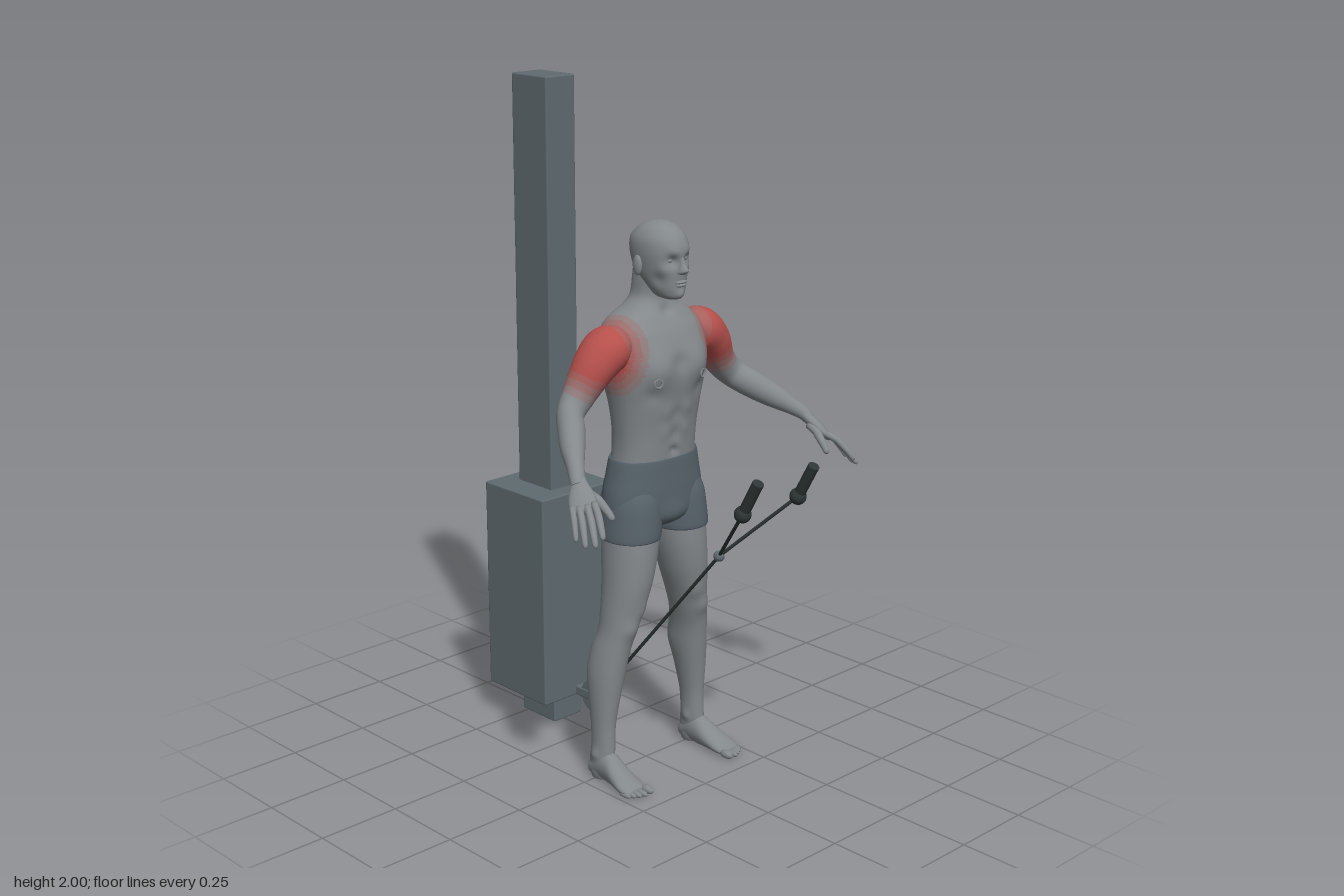
import * as THREE from 'three';
import { RoundedBoxGeometry } from 'three/addons/geometries/RoundedBoxGeometry.js';

const V = (x, y, z) => new THREE.Vector3(x, y, z);
const X = V(1, 0, 0), Y = V(0, 1, 0), Z = V(0, 0, 1);

const mat = (name, color) => {
  const m = new THREE.MeshStandardMaterial({ color });
  m.name = name;
  return m;
};

// Closed smooth skin through rows of [x, y, z, halfWidth, halfDepth]; width runs along ref
function loft(rows, { ref = X, axis = null, segs = 24, steps = 4, n = 2 } = {}) {
  const curve = (f) => new THREE.CatmullRomCurve3(rows.map(f), false, 'catmullrom', 0.5);
  const path = curve((r) => V(r[0], r[1], r[2])), size = curve((r) => V(r[3], r[4], 0));
  const count = (rows.length - 1) * steps, pos = [], idx = [];
  const round = (c) => Math.sign(c) * Math.abs(c) ** (2 / n);
  for (let i = 0; i <= count; i++) {
    const p = path.getPoint(i / count), s = size.getPoint(i / count);
    const t = axis || path.getTangent(i / count);
    const u = ref.clone().addScaledVector(t, -ref.dot(t)).normalize();
    const v = t.clone().cross(u);
    for (let j = 0; j < segs; j++) {
      const a = (j / segs) * Math.PI * 2;
      const q = p.clone().addScaledVector(u, s.x * round(Math.cos(a))).addScaledVector(v, s.y * round(Math.sin(a)));
      pos.push(q.x, q.y, q.z);
      if (i < count) {
        const k = i * segs + j, l = i * segs + ((j + 1) % segs);
        idx.push(k, l, k + segs, l, l + segs, k + segs);
      }
    }
  }
  // end caps
  const first = path.getPoint(0), last = path.getPoint(1), c = pos.length / 3, top = count * segs;
  pos.push(first.x, first.y, first.z, last.x, last.y, last.z);
  for (let j = 0; j < segs; j++) {
    const l = (j + 1) % segs;
    idx.push(c, l, j, c + 1, top + j, top + l);
  }
  const g = new THREE.BufferGeometry();
  g.setAttribute('position', new THREE.Float32BufferAttribute(pos, 3));
  g.setIndex(idx);
  g.computeVertexNormals();
  return g;
}

// Upright loft from rows of [y, centreX, halfWidth, frontZ, backZ]
const stack = (rows, opts) =>
  loft(rows.map(([y, x, a, f, b]) => [x, y, (f + b) / 2, a, (f - b) / 2]), { axis: Y, ...opts });

// Push the skin in or out around points [x, y, z, radius, amount], same on both sides
function sculpt(g, bumps) {
  const p = g.attributes.position, nrm = g.attributes.normal;
  for (let i = 0; i < p.count; i++) {
    const q = V().fromBufferAttribute(p, i);
    let d = 0;
    for (const [x, y, z, r, amount] of bumps)
      d += amount * Math.exp(-((Math.abs(q.x) - x) ** 2 + (q.y - y) ** 2 + (q.z - z) ** 2) / (r * r));
    q.addScaledVector(V().fromBufferAttribute(nrm, i), d);
    p.setXYZ(i, q.x, q.y, q.z);
  }
  g.computeVertexNormals();
  return g;
}

// Sort faces into colour groups by distance from the shoulder muscle
function shade(g) {
  const p = g.attributes.position, src = g.index.array, bands = [[], [], [], [], []];
  for (let i = 0; i < src.length; i += 3) {
    const tri = [src[i], src[i + 1], src[i + 2]], c = V(0, 0, 0);
    tri.forEach((k) => c.add(V().fromBufferAttribute(p, k)));
    c.divideScalar(3);
    const d = Math.hypot(Math.abs(c.x) - 0.215, c.y - 1.29, c.z - 0.035);
    bands[d < 0.085 ? 0 : d < 0.1 ? 1 : d < 0.12 ? 2 : d < 0.14 ? 3 : 4].push(...tri);
  }
  g.setIndex(bands.flat());
  let start = 0;
  bands.forEach((b, i) => { if (b.length) g.addGroup(start, b.length, i); start += b.length; });
  return g;
}

function mirror(g) {
  const m = g.clone().scale(-1, 1, 1), a = m.index.array;
  for (let i = 0; i < a.length; i += 3) [a[i], a[i + 1]] = [a[i + 1], a[i]];
  m.computeVertexNormals();
  return m;
}

const ball = (x, y, z, a, b, c) => new THREE.SphereGeometry(1, 20, 14).scale(a, b, c).translate(x, y, z);

function rod(a, b, r, sides = 12) {
  const d = b.clone().sub(a), g = new THREE.CylinderGeometry(r, r, d.length(), sides);
  g.applyQuaternion(new THREE.Quaternion().setFromUnitVectors(Y, d.clone().normalize()));
  return g.translate(...a.clone().add(b).multiplyScalar(0.5).toArray());
}

export function createModel() {
  const model = new THREE.Group();
  const skin = mat('skin', 0x83888b), shorts = mat('shorts', 0x57636a);
  const machine = mat('machine', 0x5f6b70), dark = mat('darkRubber', 0x2e3536);
  const tones = [mat('muscleRed', 0xb5504c), mat('muscleRose', 0xa85f5c), mat('muscleBlush', 0x9b6e6c),
    mat('muscleTint', 0x8f7b7c), skin];
  const add = (name, g, m) => {
    const mesh = new THREE.Mesh(g, m);
    mesh.name = name;
    model.add(mesh);
  };
  const pair = (name, g, m) => { add(name + 'Left', g, m); add(name + 'Right', mirror(g), m); };

  // Torso and neck
  add('torso', shade(sculpt(stack([
    [0.93, 0, 0.14, 0.11, -0.058], [1.0, 0, 0.136, 0.116, -0.055], [1.06, 0, 0.14, 0.12, -0.052],
    [1.13, 0, 0.15, 0.13, -0.06], [1.2, 0, 0.164, 0.14, -0.077], [1.27, 0, 0.173, 0.138, -0.085],
    [1.33, 0, 0.17, 0.118, -0.08], [1.37, 0, 0.135, 0.095, -0.068], [1.4, 0, 0.085, 0.078, -0.05],
    [1.43, 0, 0.058, 0.07, -0.036], [1.48, 0, 0.053, 0.076, -0.03], [1.53, 0, 0.05, 0.08, -0.025],
  ], { segs: 80, steps: 8, n: 2.3 }), [
    [0.075, 1.235, 0.14, 0.05, 0.014], [0.0, 1.25, 0.15, 0.025, -0.008], [0.09, 1.165, 0.13, 0.025, -0.006],
    [0.0, 1.1, 0.13, 0.02, -0.005], [0.0, 1.04, 0.12, 0.02, -0.005], [0.0, 0.99, 0.117, 0.011, -0.012],
    [0.035, 1.11, 0.13, 0.025, 0.004], [0.035, 1.05, 0.12, 0.025, 0.004],
    [0.0, 1.3, -0.09, 0.04, -0.016], [0.0, 1.2, -0.08, 0.04, -0.016], [0.0, 1.1, -0.06, 0.04, -0.012],
    [0.085, 1.28, -0.08, 0.055, 0.014], [0.04, 1.06, -0.055, 0.04, 0.006], [0.0, 1.39, 0.08, 0.018, -0.008],
  ])), tones);
  pair('nipple', new THREE.TorusGeometry(0.012, 0.003, 8, 20).rotateY(0.35).translate(0.086, 1.205, 0.14), skin);

  // Head and face
  add('head', sculpt(stack([
    [1.428, 0, 0.018, 0.122, 0.075], [1.436, 0, 0.034, 0.133, 0.05], [1.455, 0, 0.046, 0.138, 0.025],
    [1.485, 0, 0.058, 0.14, -0.005], [1.52, 0, 0.065, 0.143, -0.03], [1.56, 0, 0.069, 0.145, -0.04],
    [1.595, 0, 0.065, 0.136, -0.036], [1.622, 0, 0.048, 0.112, -0.01], [1.636, 0, 0.026, 0.085, 0.02],
    [1.641, 0, 0.006, 0.06, 0.045],
  ], { segs: 56, steps: 7, n: 2.15 }), [
    [0.028, 1.54, 0.135, 0.017, -0.014], [0.025, 1.562, 0.14, 0.015, 0.004], [0.042, 1.515, 0.115, 0.015, 0.004],
    [0.05, 1.485, 0.1, 0.02, -0.006], [0, 1.443, 0.135, 0.015, 0.005], [0, 1.461, 0.14, 0.01, -0.004],
  ]), skin);
  pair('eye', ball(0.028, 1.54, 0.116, 0.012, 0.009, 0.012), skin);
  pair('ear', ball(0.071, 1.522, 0.045, 0.009, 0.029, 0.017).rotateY(0.05), skin);
  add('nose', stack([[1.5, 0, 0.006, 0.15, 0.12], [1.505, 0, 0.016, 0.157, 0.12], [1.513, 0, 0.014, 0.165, 0.12],
    [1.53, 0, 0.009, 0.154, 0.12], [1.555, 0, 0.007, 0.143, 0.12]], { segs: 16 }), skin);
  add('upperLip', ball(0, 1.479, 0.14, 0.022, 0.005, 0.008), skin);
  add('lowerLip', ball(0, 1.47, 0.139, 0.019, 0.005, 0.008), skin);

  // Arms from the shoulder to the wrist
  pair('arm', shade(loft([
    [0.12, 1.312, 0.03, 0.042, 0.05], [0.172, 1.302, 0.03, 0.064, 0.072], [0.222, 1.262, 0.028, 0.06, 0.065],
    [0.274, 1.19, 0.022, 0.048, 0.047], [0.318, 1.143, 0.033, 0.042, 0.038], [0.352, 1.112, 0.075, 0.041, 0.038],
    [0.39, 1.08, 0.122, 0.036, 0.034], [0.424, 1.05, 0.17, 0.026, 0.025], [0.445, 1.03, 0.2, 0.021, 0.022],
    [0.455, 1.012, 0.218, 0.017, 0.021],
  ], { ref: Y, segs: 48, steps: 10 })), tones);

  // Hands
  const across = V(0.7, -0.15, -0.7).normalize();
  pair('palm', loft([[0.444, 1.033, 0.197, 0.02, 0.018], [0.453, 1.013, 0.217, 0.025, 0.017],
    [0.467, 0.99, 0.242, 0.036, 0.016], [0.48, 0.966, 0.265, 0.037, 0.012], [0.485, 0.957, 0.273, 0.025, 0.007]],
  { ref: across }), skin);
  const finger = (name, a, b, r) => {
    const at = (t, s) => [...V(...a).lerp(V(...b), t).add(V(0, 0.012 * Math.sin(t * Math.PI), 0)).toArray(), r * s, r * s];
    pair(name, loft([at(0, 1), at(0.35, 0.95), at(0.5, 1), at(0.8, 0.85), at(0.95, 0.7), at(1, 0.3)],
      { ref: across, segs: 14 }), skin);
  };
  finger('indexFinger', [0.457, 0.98, 0.28], [0.497, 0.908, 0.358], 0.0105);
  finger('middleFinger', [0.473, 0.974, 0.27], [0.518, 0.89, 0.352], 0.0105);
  finger('ringFinger', [0.488, 0.97, 0.256], [0.531, 0.886, 0.327], 0.01);
  finger('littleFinger', [0.499, 0.968, 0.24], [0.535, 0.896, 0.295], 0.0088);
  finger('thumb', [0.442, 0.998, 0.23], [0.424, 0.934, 0.318], 0.0125);

  // Shorts
  add('shortsHips', sculpt(stack([
    [0.968, 0, 0.14, 0.113, -0.058], [0.966, 0, 0.145, 0.117, -0.061], [0.92, 0, 0.155, 0.119, -0.066],
    [0.86, 0, 0.167, 0.121, -0.07], [0.8, 0, 0.165, 0.118, -0.06], [0.77, 0, 0.125, 0.095, -0.035],
    [0.755, 0, 0.06, 0.06, 0],
  ].reverse(), { segs: 56, steps: 6, n: 2.3 }), [
    [0.075, 0.85, -0.07, 0.055, 0.012], [0, 0.85, -0.07, 0.028, -0.016], [0, 0.8, 0.12, 0.035, 0.008],
  ]), shorts);
  pair('shortsLeg', stack([[0.738, 0.096, 0.076, 0.118, -0.052], [0.74, 0.095, 0.084, 0.125, -0.061],
    [0.79, 0.09, 0.084, 0.124, -0.064], [0.85, 0.085, 0.08, 0.118, -0.066], [0.9, 0.08, 0.06, 0.1, -0.05]],
  { segs: 40, n: 2.1 }), shorts);

  // Legs
  pair('leg', sculpt(stack([
    [0.0, 0.186, 0.022, 0.03, -0.027], [0.02, 0.186, 0.027, 0.04, -0.035], [0.06, 0.186, 0.029, 0.05, -0.034],
    [0.1, 0.184, 0.03, 0.05, -0.029], [0.17, 0.182, 0.032, 0.05, -0.031], [0.25, 0.176, 0.041, 0.058, -0.043],
    [0.33, 0.167, 0.05, 0.068, -0.054], [0.4, 0.157, 0.05, 0.078, -0.046], [0.46, 0.143, 0.051, 0.09, -0.031],
    [0.52, 0.13, 0.057, 0.1, -0.032], [0.6, 0.113, 0.067, 0.115, -0.04], [0.7, 0.098, 0.076, 0.12, -0.051],
    [0.8, 0.09, 0.076, 0.115, -0.052],
  ], { segs: 40, steps: 5, n: 2.1 }), [
    [0.145, 0.475, 0.09, 0.025, 0.007], [0.11, 0.53, 0.1, 0.025, 0.006], [0.14, 0.35, -0.04, 0.035, 0.004],
    [0.155, 0.09, 0.012, 0.015, 0.006], [0.215, 0.08, 0.005, 0.015, 0.006],
  ]), skin);

  // Feet, flattened on the ground
  const grounded = (g) => {
    const p = g.attributes.position;
    for (let i = 0; i < p.count; i++) p.setY(i, Math.max(p.getY(i), 0));
    g.computeVertexNormals();
    return g;
  };
  pair('foot', grounded(loft([
    [0.186, 0.025, -0.036, 0.012, 0.014], [0.186, 0.03, -0.025, 0.025, 0.028], [0.186, 0.045, 0.01, 0.03, 0.045],
    [0.187, 0.042, 0.05, 0.033, 0.046], [0.191, 0.029, 0.09, 0.038, 0.032], [0.195, 0.018, 0.13, 0.042, 0.021],
    [0.195, 0.013, 0.155, 0.038, 0.014], [0.194, 0.011, 0.166, 0.03, 0.007],
  ], { axis: Z, segs: 32 })), skin);
  [[0.165, 0.176, 0.0125], [0.187, 0.176, 0.009], [0.203, 0.169, 0.0085], [0.217, 0.16, 0.008], [0.229, 0.15, 0.0075]]
    .forEach(([x, z, r], i) => pair('toe' + (i + 1), ball(x, r, z, r, r, 0.024), skin));

  // Cable machine: column, weight housing, pulley
  const box = (name, w, h, d, x, y, z, m) => add(name, new RoundedBoxGeometry(w, h, d, 2, 0.005).translate(x, y, z), m);
  box('column', 0.11, 1.99, 0.15, 0, 1.005, -0.428, machine);
  box('weightHousing', 0.282, 0.66, 0.264, 0, 0.44, -0.428, machine);
  box('pulleyBracket', 0.032, 0.03, 0.09, 0, 0.125, -0.265, machine);
  add('pulley', new THREE.CylinderGeometry(0.05, 0.05, 0.026, 36).rotateZ(Math.PI / 2).translate(0, 0.125, -0.225), machine);
  add('pulleyAxle', new THREE.CylinderGeometry(0.01, 0.01, 0.036, 16).rotateZ(Math.PI / 2).translate(0, 0.125, -0.225), dark);

  // Cable, joint and two handles
  const joint = V(0, 0.72, 0.295);
  add('cable', rod(V(0, 0.155, -0.19), joint, 0.005), dark);
  add('cableJoint', ball(...joint.toArray(), 0.016, 0.016, 0.016), machine);
  for (const [side, s] of [['Left', 1], ['Right', -1]]) {
    const end = V(0.11 * s, 0.918, 0.487);
    add('handleRope' + side, rod(joint, end, 0.005), dark);
    add('handleBall' + side, ball(...end.toArray(), 0.024, 0.024, 0.024), dark);
    add('handleGrip' + side, rod(end, V(0.11 * s, 1.018, 0.542), 0.016, 20), dark);
  }
  return model;
}
